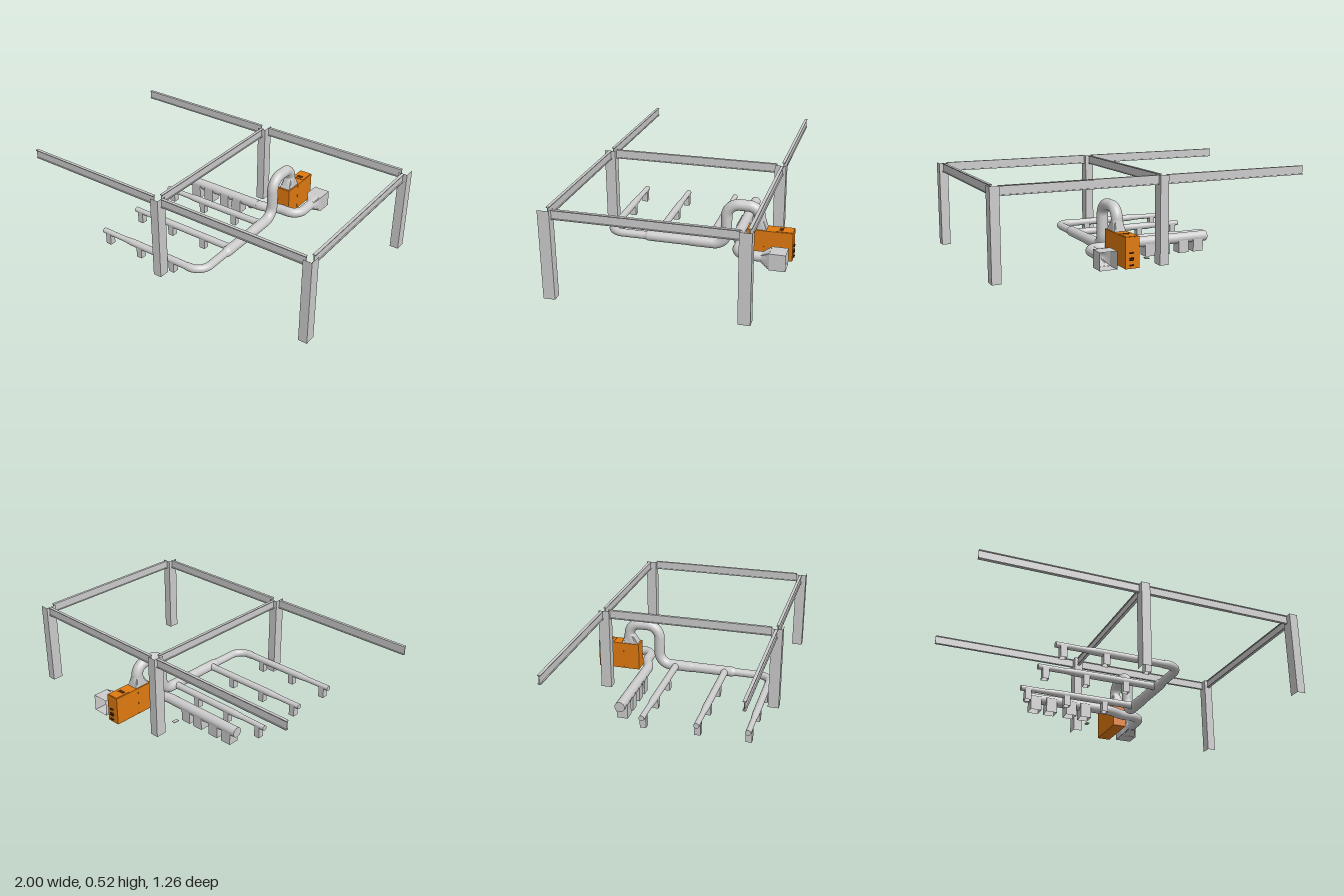
import * as THREE from 'three';

const grey = new THREE.MeshStandardMaterial({ color: 0xcccccc });
const greyThin = new THREE.MeshStandardMaterial({ color: 0xcccccc, side: THREE.DoubleSide });
const orange = new THREE.MeshStandardMaterial({ color: 0xe07a10 });
const dark = new THREE.MeshStandardMaterial({ color: 0x4a2a08 });
const V = (x, y, z) => new THREE.Vector3(x, y, z);

export function createModel() {
  const model = new THREE.Group();

  const add = (name, geo, mat = grey) => {
    const mesh = new THREE.Mesh(geo, mat);
    mesh.name = name;
    model.add(mesh);
    return mesh;
  };
  // box given by its minimum and maximum corners
  const box = (name, a, b, mat) => {
    const geo = new THREE.BoxGeometry(b[0] - a[0], b[1] - a[1], b[2] - a[2]);
    geo.translate((a[0] + b[0]) / 2, (a[1] + b[1]) / 2, (a[2] + b[2]) / 2);
    return add(name, geo, mat);
  };
  // box with some sides left out (0 +x, 1 -x, 2 +y, 3 -y, 4 +z, 5 -z)
  const openBox = (name, a, b, missing, mat) => {
    const mesh = box(name, a, b, mat);
    const idx = Array.from(mesh.geometry.index.array);
    mesh.geometry.setIndex(idx.filter((_, i) => !missing.includes(Math.floor(i / 6))));
    return mesh;
  };
  // round section between two points, optionally tapered, with closed ends
  const pipe = (name, a, b, r0, r1 = r0) => {
    const dir = b.clone().sub(a);
    const mesh = add(name, new THREE.CylinderGeometry(r1, r0, dir.length(), 32));
    mesh.position.copy(a).addScaledVector(dir, 0.5);
    mesh.quaternion.setFromUnitVectors(V(0, 1, 0), dir.normalize());
    return mesh;
  };
  // round duct through corner points, each corner rounded by its own radius
  const duct = (name, pts, radii, r) => {
    const path = new THREE.CurvePath();
    let from = pts[0];
    for (let i = 1; i < pts.length - 1; i++) {
      const inDir = pts[i].clone().sub(pts[i - 1]).normalize();
      const outDir = pts[i + 1].clone().sub(pts[i]).normalize();
      const cut = radii[i - 1];
      const p = pts[i].clone().addScaledVector(inDir, -cut);
      const q = pts[i].clone().addScaledVector(outDir, cut);
      path.add(new THREE.LineCurve3(from, p));
      path.add(new THREE.CubicBezierCurve3(p, p.clone().addScaledVector(inDir, cut * 0.552),
        q.clone().addScaledVector(outDir, -cut * 0.552), q));
      from = q;
    }
    path.add(new THREE.LineCurve3(from, pts[pts.length - 1]));
    return add(name, new THREE.TubeGeometry(path, 120, r, 32), greyThin);
  };
  // square-to-round transition along +y, rectangle w x d at the bottom
  const transition = (name, w, d, h, r, shift = 0) => {
    const n = 48, pos = [], idx = [];
    for (let i = 0; i <= n; i++) {
      const t = (i / n) * Math.PI * 2, c = Math.cos(t), s = Math.sin(t);
      const k = 1 / Math.max(Math.abs(c), Math.abs(s));
      pos.push(c * k * w / 2, 0, s * k * d / 2 + shift, c * r, h, s * r);
      if (i < n) idx.push(2 * i, 2 * i + 1, 2 * i + 3, 2 * i, 2 * i + 3, 2 * i + 2);
    }
    let geo = new THREE.BufferGeometry();
    geo.setAttribute('position', new THREE.Float32BufferAttribute(pos, 3));
    geo.setIndex(idx);
    geo = geo.toNonIndexed();
    geo.computeVertexNormals();
    return add(name, geo, greyThin);
  };

  // steel columns: open-ended hollow sections
  for (const x of [-0.027, 0.973])
    for (const z of [0.599, -0.489])
      openBox('column', [x - 0.027, 0, z - 0.034], [x + 0.027, 0.525, z + 0.034], [2, 3], grey);

  // I-beams
  const section = new THREE.Shape();
  const half = [[0.009, 0], [0.009, 0.005], [0.0025, 0.005], [0.0025, 0.05], [0.009, 0.05], [0.009, 0.055]];
  const outline = [...half, ...half.map(([x, y]) => [-x, y]).reverse()];
  section.setFromPoints(outline.map(([x, y]) => new THREE.Vector2(x, y)));
  const beam = (name, x, z, length, alongX) => {
    const mesh = add(name, new THREE.ExtrudeGeometry(section, { depth: length, bevelEnabled: false }));
    mesh.position.set(x, 0.47, z);
    if (alongX) mesh.rotation.y = Math.PI / 2;
  };
  for (const z of [0.596, -0.5]) {
    beam('longBeam', -1, z, 0.946, true);
    beam('longBeam', 0, z, 0.946, true);
  }
  beam('crossBeam', -0.028, -0.465, 1.03, false);
  beam('crossBeam', 0.972, -0.455, 1.02, false);

  // main duct: up from the machine, over, and down to the floor run
  const X = 0.225, Y = 0.075;
  duct('riserDuct', [V(X, 0.265, -0.417), V(X, 0.34, -0.417), V(X, 0.34, -0.213), V(X, Y, -0.213), V(X, Y, 0)],
    [0.07, 0.08, 0.08], 0.034);
  pipe('trunkReducer', V(X, Y, 0), V(X, Y, 0.02), 0.034, 0.032);
  pipe('trunkDuct', V(X, Y, 0.02), V(X, Y, 0.28), 0.032);
  pipe('trunkReducer', V(X, Y, 0.28), V(X, Y, 0.3), 0.032, 0.025);
  duct('endElbow', [V(X, Y, 0.3), V(X, Y, 0.535), V(0.12, Y, 0.535)], [0.085], 0.025);

  // three floor branches with their suction drops
  for (const z of [0.535, 0.232, -0.098]) {
    const start = z > 0.5 ? 0.15 : X;
    pipe('branchDuct', V(start, Y, z), V(-0.3, Y, z), 0.022);
    pipe('branchReducer', V(-0.3, Y, z), V(-0.36, Y, z), 0.022, 0.017);
    pipe('branchEnd', V(-0.36, Y, z), V(-0.53, Y, z), 0.017);
    if (z < 0.5) pipe('branchCollar', V(X, Y, z), V(0.17, Y, z), 0.025, 0.022);
    for (const x of [-0.485, -0.235, 0.015])
      openBox('suctionDrop', [x - 0.019, 0, z - 0.019], [x + 0.019, 0.072, z + 0.019], [2, 3], greyThin);
  }

  // rear duct with wide drops, swinging round to the intake box
  const RY = 0.088;
  pipe('rearDuct', V(-0.455, RY, -0.258), V(0.09, RY, -0.258), 0.032);
  duct('rearBend', [V(0.07, RY, -0.258), V(0.13, RY, -0.258), V(0.215, RY, -0.3), V(0.363, RY, -0.3),
    V(0.363, RY, -0.46)], [0.035, 0.035, 0.075], 0.031);
  for (const x of [-0.39, -0.288, -0.158, -0.06])
    openBox('wideDrop', [x - 0.034, 0, -0.288], [x + 0.034, 0.092, -0.219], [2, 3], greyThin);
  const neck = transition('intakeTransition', 0.104, 0.104, 0.055, 0.031);
  neck.rotation.x = Math.PI / 2;
  neck.position.set(0.363, 0.084, -0.51);
  openBox('intakeBox', [0.311, 0.031, -0.606], [0.415, 0.135, -0.51], [4, 5], greyThin);

  // machine cabinet with its outlet hood
  box('cabinet', [0.184, 0.03, -0.622], [0.268, 0.209, -0.345], orange);
  box('cabinetSeam', [0.183, 0.03, -0.4505], [0.269, 0.209, -0.4495], orange);
  box('topPanel', [0.188, 0.209, -0.62], [0.264, 0.212, -0.52], orange);
  box('topSlot', [0.205, 0.2115, -0.56], [0.247, 0.2125, -0.535], dark);
  for (const y of [0.05, 0.08, 0.09, 0.12])
    box('doorLatch', [0.22, y - 0.003, -0.631], [0.245, y + 0.003, -0.621], dark);
  const hood = transition('outletHood', 0.07, 0.105, 0.062, 0.034, 0.008);
  hood.position.set(X, 0.209, -0.417);

  // small plate on the floor
  box('floorPlate', [-0.022, 0, -0.346], [0, 0.005, -0.31]);

  return model;
}
